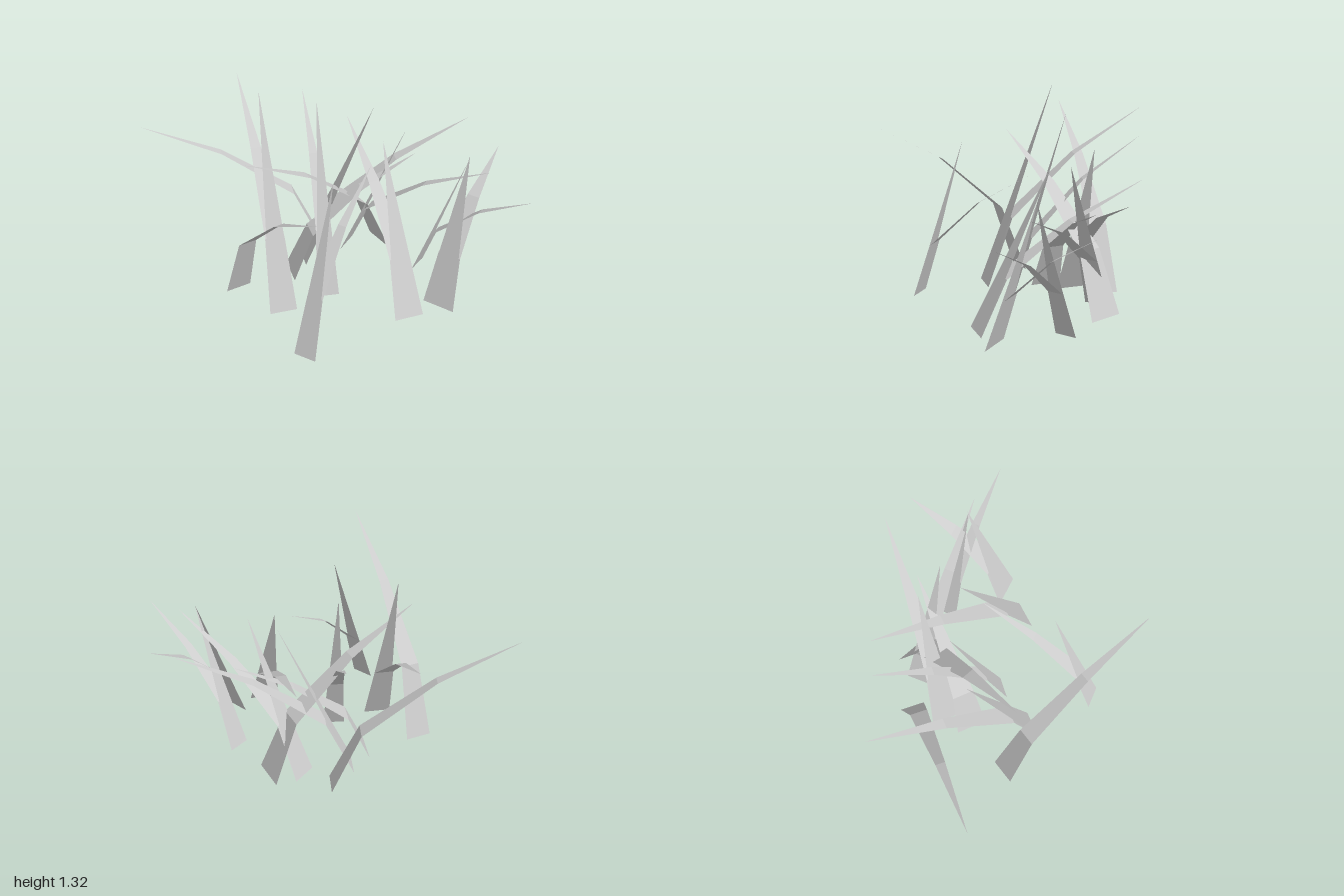
import * as THREE from 'three';

// Each tuft: root x, z, root width, an optional upright tip and a drooping tip [x, y, z]
const TUFTS = [
  { root: [-0.5, 0.185], width: 0.172, upright: [-0.39, 1.32, -0.28], droop: [-0.25, 1.11, -0.89] },
  { root: [-0.182, 0.183], width: 0.14, upright: [-0.06, 1.205, -0.165], droop: [0.085, 1.025, -0.625] },
  { root: [0.15, 0.62], width: 0.185, upright: [0.235, 1.0, 0.13], droop: [0.333, 0.83, -0.48] },
  { root: [-0.587, 0.62], width: 0.145, upright: [-0.29, 1.06, 0.445], droop: [0.108, 0.91, 0.205] },
  { root: [0.365, 0.617], width: 0.21, upright: [0.635, 0.96, 0.478], droop: [0.995, 0.81, 0.287] },
  { root: [0.48, 0.19], width: 0.14, upright: [0.63, 0.945, 0.485], droop: [0.82, 0.795, 0.88] },
  { root: [0.195, -0.24], width: 0.17, upright: [0.415, 1.03, 0.115], droop: [0.715, 0.88, 0.595] },
  { root: [-0.13, -0.25], width: 0.19, upright: [0.315, 1.075, -0.12], droop: [0.92, 0.92, 0.052] },
  { root: [0.405, -0.157], width: 0.22, droop: [-0.61, 0.99, -0.06] },
  { root: [0.075, -0.385], width: 0.16, droop: [-1.0, 1.02, -0.72] },
  { root: [-0.64, -0.17], width: 0.165, droop: [-0.625, 1.155, 0.885] },
  { root: [-0.275, -0.15], width: 0.2, droop: [0.55, 0.755, 0.025] },
];

// Cross-sections below the tip: [share of lean, share of height, share of width]
const STRAIGHT = [[0, 0, 1]];
const BENT = [[0, 0, 1], [0.16, 0.405, 0.71], [0.56, 0.753, 0.38]];

// Flat tapering blade: one edge pair per cross-section, closed by a pointed tip
function bladeGeometry([rx, rz], width, [tx, ty, tz], sections) {
  const dx = tx - rx, dz = tz - rz;
  const half = width / 2 / Math.hypot(dx, dz);
  const position = [], index = [];
  sections.forEach(([lean, rise, taper], i) => {
    const x = rx + dx * lean, z = rz + dz * lean;
    const sx = -dz * half * taper, sz = dx * half * taper;
    position.push(x - sx, ty * rise, z - sz, x + sx, ty * rise, z + sz);
    const a = i * 2;
    index.push(a, a + 1, a + 2);
    if (i < sections.length - 1) index.push(a + 1, a + 3, a + 2);
  });
  position.push(tx, ty, tz);
  const indexed = new THREE.BufferGeometry();
  indexed.setAttribute('position', new THREE.Float32BufferAttribute(position, 3));
  indexed.setIndex(index);
  const geometry = indexed.toNonIndexed();
  geometry.computeVertexNormals();
  return geometry;
}

export function createModel() {
  const model = new THREE.Group();
  model.name = 'grassClump';
  const grey = new THREE.MeshStandardMaterial({ color: 0xcccccc });
  grey.name = 'bladeGrey';
  grey.side = THREE.DoubleSide;
  grey.flatShading = true;

  TUFTS.forEach(({ root, width, upright, droop }, t) => {
    const tuft = new THREE.Group();
    tuft.name = `tuft${t + 1}`;
    const addBlade = (name, tip, sections) => {
      const blade = new THREE.Mesh(bladeGeometry(root, width, tip, sections), grey);
      blade.name = name;
      tuft.add(blade);
    };
    if (upright) addBlade('uprightBlade', upright, STRAIGHT);
    addBlade('droopingBlade', droop, BENT);
    model.add(tuft);
  });
  return model;
}
